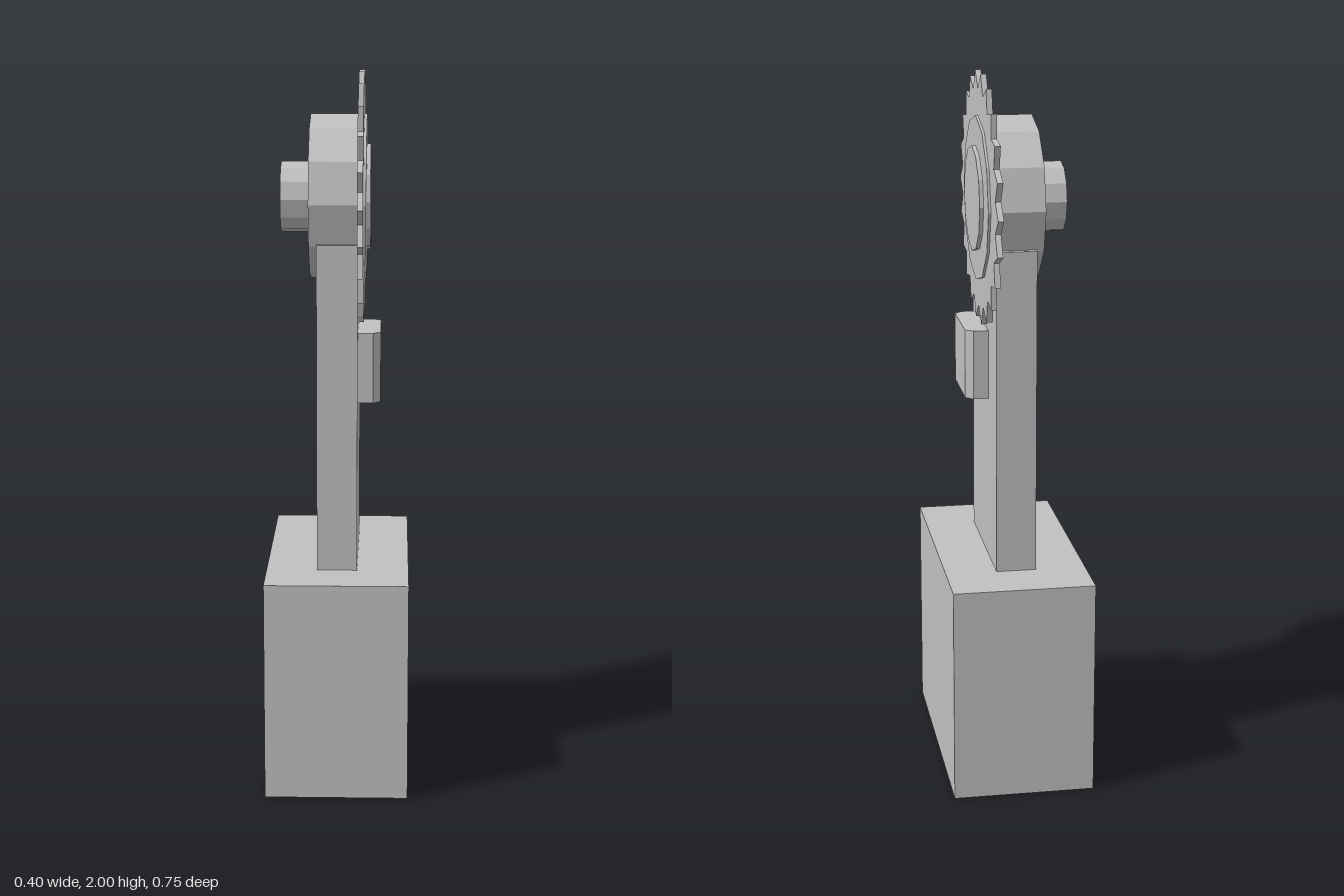
import * as THREE from 'three';

export function createModel() {
  const model = new THREE.Group();
  const grey = new THREE.MeshStandardMaterial({ color: 0xc0c0c0, flatShading: true });
  grey.name = 'plain grey';
  const axleY = 1.65;

  const add = (name, geometry, x, y, z) => {
    const mesh = new THREE.Mesh(geometry, grey);
    mesh.name = name;
    mesh.position.set(x, y, z);
    model.add(mesh);
  };
  // Box given by its limits in x and y, centred on z
  const block = (name, x0, x1, y0, y1, depth) =>
    add(name, new THREE.BoxGeometry(x1 - x0, y1 - y0, depth), (x0 + x1) / 2, (y0 + y1) / 2, 0);
  // Twelve-sided disc on the axle, running from x0 to x1
  const disc = (name, radius, x0, x1) =>
    add(name, new THREE.CylinderGeometry(radius, radius, x1 - x0, 12).rotateZ(-Math.PI / 2),
      (x0 + x1) / 2, axleY, 0);

  block('base', -0.2, 0.2, 0, 0.62, 0.746);
  block('post', -0.058, 0.055, 0.62, 1.54, 0.438);

  disc('drum', 0.231, -0.08, 0.078);
  disc('rearHub', 0.099, -0.163, -0.08);
  disc('frontCap', 0.148, 0.078, 0.089);

  // Toothed blade: alternating tips and valleys
  const teeth = 22;
  const points = [];
  for (let i = 0; i < teeth * 2; i++) {
    const angle = (i * Math.PI) / teeth;
    const radius = i % 2 ? 0.305 : 0.3535;
    points.push(new THREE.Vector2(Math.cos(angle) * radius, Math.sin(angle) * radius));
  }
  const blade = new THREE.ExtrudeGeometry(new THREE.Shape(points), { depth: 0.016, bevelEnabled: false });
  add('toothedBlade', blade.rotateY(Math.PI / 2), 0.055, axleY, 0);

  // Side block with chamfered outer edges, drawn in plan (x, -z)
  const plan = new THREE.Shape([
    [0.055, -0.163], [0.098, -0.163], [0.119, -0.142],
    [0.119, 0.057], [0.098, 0.078], [0.055, 0.078],
  ].map(([x, y]) => new THREE.Vector2(x, y)));
  const side = new THREE.ExtrudeGeometry(plan, { depth: 0.198, bevelEnabled: false });
  add('chamferedBlock', side.rotateX(-Math.PI / 2), 0, 1.09, 0);

  return model;
}
